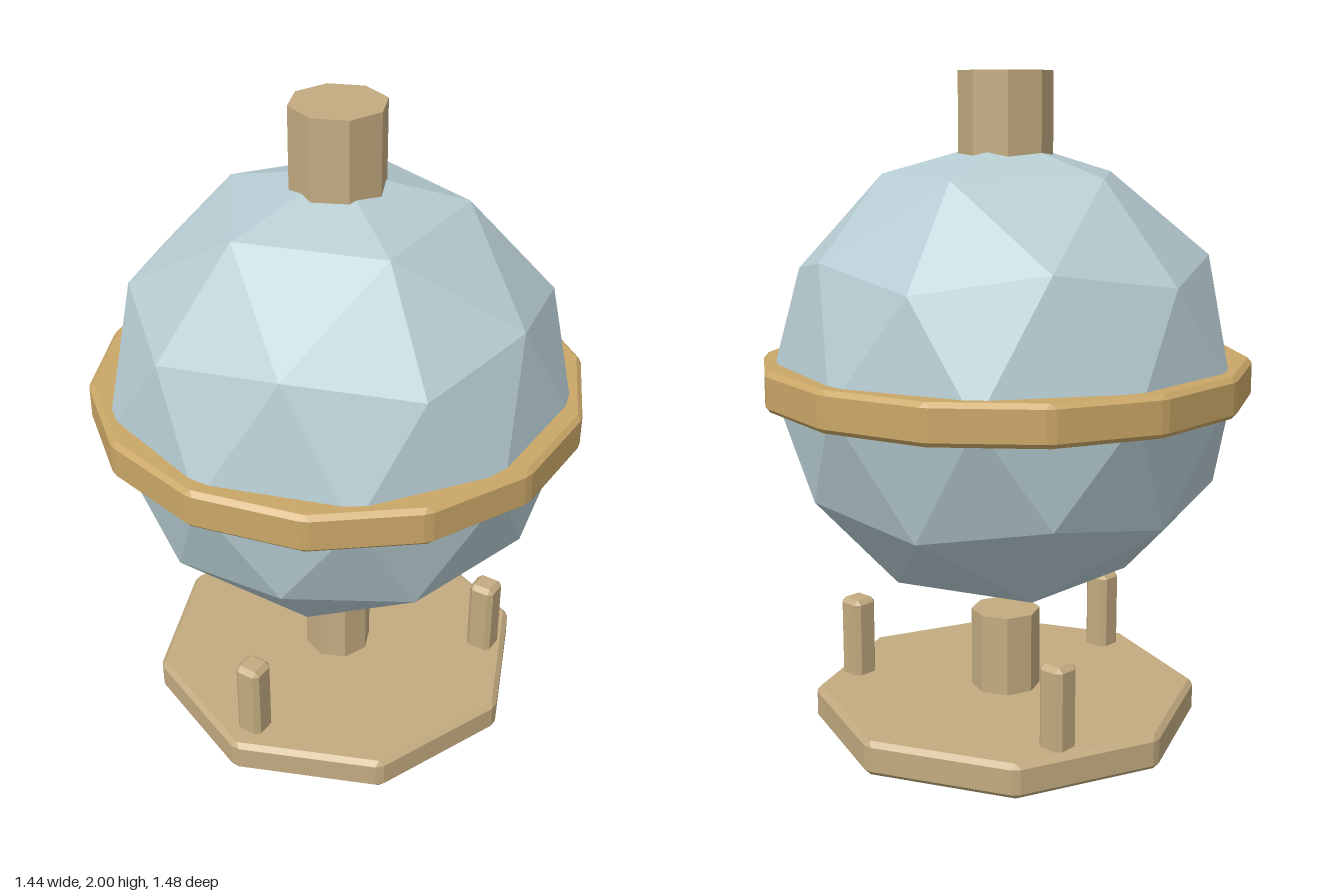
import * as THREE from 'three';
import { ConvexGeometry } from 'three/addons/geometries/ConvexGeometry.js';

const flat = (name, color) => {
  const m = new THREE.MeshStandardMaterial({ color, flatShading: true });
  m.name = name;
  return m;
};

// Regular n-sided prism with every edge chamfered by b; first corner faces +z, turned by start.
function chamferedPrism(n, r, y0, y1, b, start = 0) {
  const corner = (i, radius) => {
    const a = start + (i / n) * Math.PI * 2;
    return new THREE.Vector3(Math.sin(a) * radius, 0, Math.cos(a) * radius);
  };
  const points = [];
  for (let i = 0; i < n; i++) {
    const c = corner(i, r);
    const cap = corner(i, r - b / Math.cos(Math.PI / n));
    for (const y of [y0, y1]) points.push(cap.clone().setY(y));
    for (const side of [-1, 1]) {
      const dir = corner(i + side, r).sub(c).normalize();
      const p = c.clone().addScaledVector(dir, b);
      for (const y of [y0 + b, y1 - b]) points.push(p.clone().setY(y));
    }
  }
  return new ConvexGeometry(points);
}

// Plain octagonal post between two heights.
function post(r, y0, y1) {
  return new THREE.CylinderGeometry(r, r, y1 - y0, 8).translate(0, (y0 + y1) / 2, 0);
}

export function createModel() {
  const group = new THREE.Group();
  const tan = flat('tan', 0xc3ab80);
  const gold = flat('gold', 0xcaa767);
  const glass = flat('pale blue', 0xb6ccd2);
  const add = (name, geometry, material) => {
    const mesh = new THREE.Mesh(geometry, material);
    mesh.name = name;
    group.add(mesh);
    return mesh;
  };

  // Base plate and central column
  add('base', chamferedPrism(8, 0.6, 0, 0.105, 0.015), tan);
  add('column', post(0.107, 0.08, 0.355), tan);

  // Three square pegs around the column
  for (let i = 0; i < 3; i++) {
    const a = (i / 3) * Math.PI * 2;
    const peg = add('peg', chamferedPrism(4, 0.0425 * Math.SQRT2, 0.07, 0.355, 0.015, Math.PI / 4), tan);
    peg.position.set(Math.sin(a) * 0.485, 0, Math.cos(a) * 0.485);
  }

  // Faceted globe, turned to stand on a vertex
  const globe = new THREE.IcosahedronGeometry(0.706, 1);
  globe.rotateZ(Math.atan(2 / (1 + Math.sqrt(5))));
  globe.translate(0, 1.1, 0);
  add('globe', globe, glass);

  // Band around the equator and stub on top
  add('equatorBand', chamferedPrism(14, 0.741, 1.04, 1.16, 0.014), gold);
  add('topStub', post(0.14, 1.7, 2), tan);

  return group;
}
